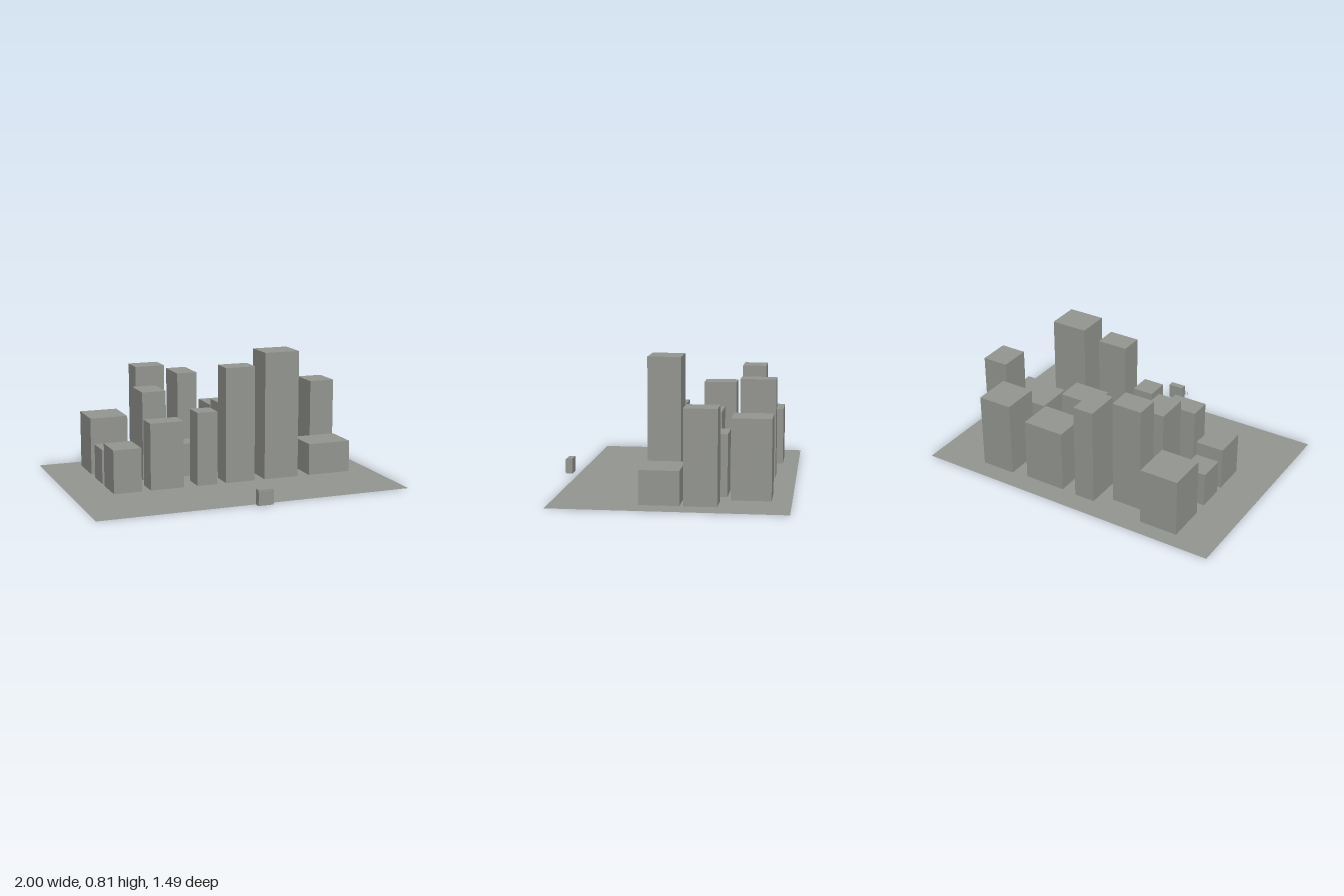
import * as THREE from 'three';

export function createModel() {
  const city = new THREE.Group();
  city.name = 'cityBlock';
  const concrete = new THREE.MeshStandardMaterial({ color: 0x949691, side: THREE.DoubleSide });
  concrete.name = 'concrete grey';

  // Box given by its lower and upper limits on each axis
  function block(name, parent, x0, x1, y0, y1, z0, z1) {
    const geometry = new THREE.BoxGeometry(x1 - x0, y1 - y0, z1 - z0);
    const mesh = new THREE.Mesh(geometry, concrete);
    mesh.position.set((x0 + x1) / 2, (y0 + y1) / 2, (z0 + z1) / 2);
    mesh.name = name;
    parent.add(mesh);
  }

  // Flat ground sheet
  const ground = new THREE.Mesh(new THREE.PlaneGeometry(2, 1.388).rotateX(-Math.PI / 2), concrete);
  ground.position.z = -0.051;
  ground.name = 'ground';
  city.add(ground);

  // Three rows of buildings with aligned fronts: [left x, right x, back z, height]
  const rows = [
    { name: 'frontRow', front: 0.126, lots: [
      [-0.742, -0.564, -0.084, 0.273], [-0.506, -0.291, -0.012, 0.42], [-0.2, -0.069, -0.012, 0.465],
      [-0.01, 0.184, -0.017, 0.733], [0.253, 0.483, -0.075, 0.813], [0.563, 0.849, -0.111, 0.203],
    ] },
    { name: 'middleRow', front: -0.131, lots: [
      [-0.742, -0.591, -0.3, 0.22], [-0.474, -0.319, -0.342, 0.566], [-0.239, -0.024, -0.27, 0.213],
      [0.045, 0.281, -0.3, 0.46], [0.376, 0.58, -0.363, 0.374], [0.686, 0.852, -0.329, 0.563],
    ] },
    { name: 'backRow', front: -0.389, lots: [
      [-0.742, -0.496, -0.642, 0.368], [-0.436, -0.243, -0.539, 0.685], [-0.152, -0.019, -0.615, 0.625],
      [0.077, 0.345, -0.61, 0.4], [0.446, 0.665, -0.626, 0.482],
    ] },
  ];
  for (const { name, front, lots } of rows) {
    const row = new THREE.Group();
    row.name = name;
    lots.forEach(([x0, x1, back, h], i) => block(`building${i + 1}`, row, x0, x1, 0, h, back, front));
    city.add(row);
  }

  // Small kiosk standing off the front edge, with a door strip and side frames
  const kiosk = new THREE.Group();
  kiosk.name = 'kiosk';
  block('kioskBody', kiosk, -0.037, 0.06, 0.01, 0.106, 0.675, 0.714);
  block('kioskFrontPanel', kiosk, -0.035, 0.058, 0.016, 0.1, 0.714, 0.721);
  block('kioskDoor', kiosk, -0.008, 0.013, 0.02, 0.09, 0.721, 0.724);
  // Thin upright slivers in front of it
  block('sliver1', kiosk, -0.05, -0.047, 0.025, 0.045, 0.738, 0.741);
  block('sliver2', kiosk, -0.035, -0.032, 0.025, 0.05, 0.738, 0.741);
  city.add(kiosk);

  return city;
}
